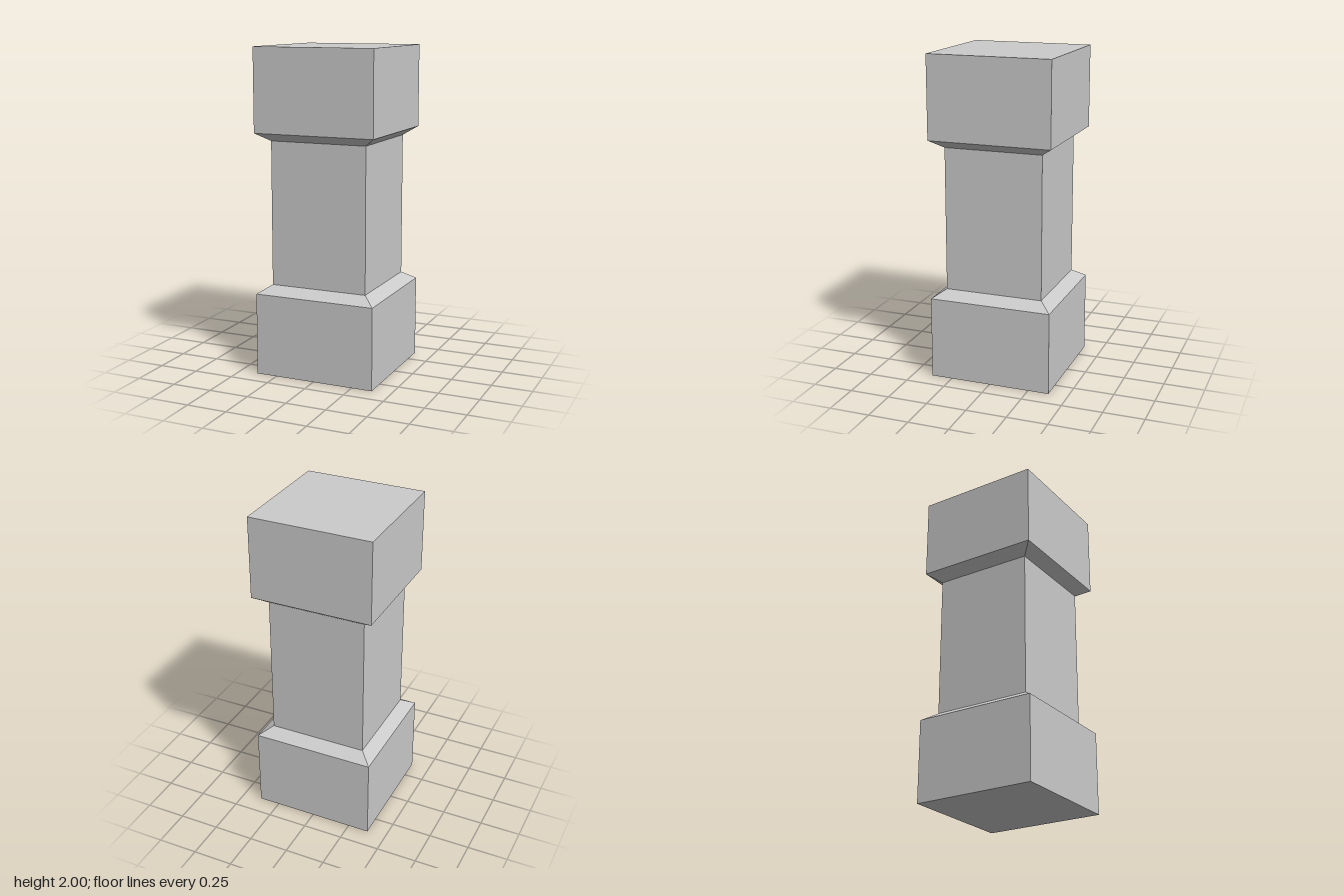
import * as THREE from 'three';

const material = new THREE.MeshStandardMaterial({ color: 0xcccccc, flatShading: true });

// Square section swept around y; profile is [half width, height] from bottom to top
function squarePart(name, profile) {
  const points = profile.map(([half, y]) => new THREE.Vector2(half * Math.SQRT2, y));
  const geometry = new THREE.LatheGeometry(points, 4, Math.PI / 4);
  const mesh = new THREE.Mesh(geometry, material);
  mesh.name = name;
  return mesh;
}

export function createModel() {
  const group = new THREE.Group();
  group.name = 'squarePillar';

  const wide = 0.38, narrow = 0.305;
  const block = 0.508, bevel = 0.558, height = 2;

  // Base block with a bevel up to the shaft
  group.add(squarePart('base', [[0, 0], [wide, 0], [wide, block], [narrow, bevel]]));

  // Plain square shaft
  group.add(squarePart('shaft', [[narrow, bevel], [narrow, height - bevel]]));

  // Capital block mirroring the base
  group.add(squarePart('capital', [
    [narrow, height - bevel], [wide, height - block], [wide, height], [0, height],
  ]));

  return group;
}
